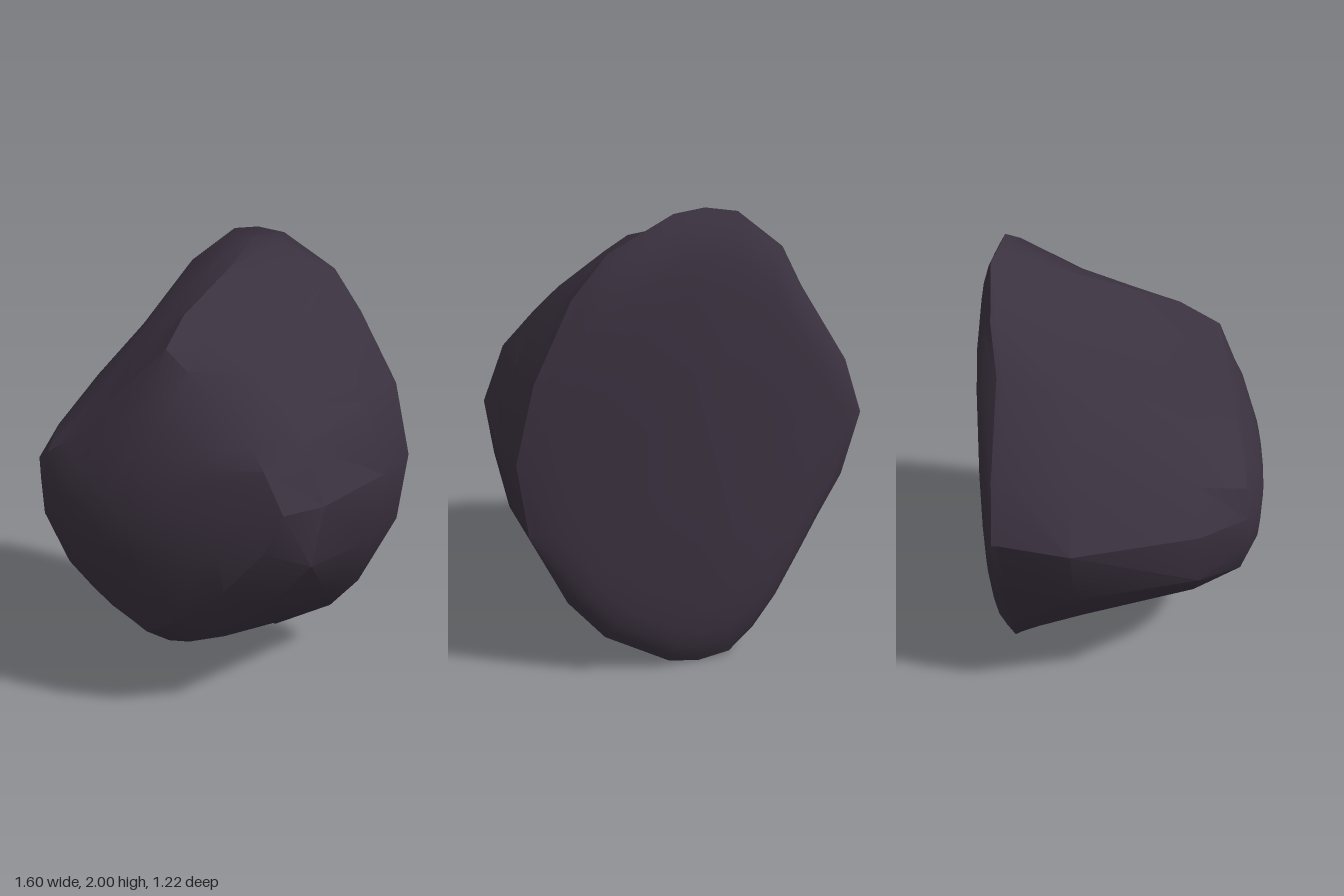
import * as THREE from 'three';
import { toCreasedNormals } from 'three/addons/utils/BufferGeometryUtils.js';

// Rim around the broad back of the stone (x, y, z), clockwise from the top
const rim = [
  [0.02, 2, -0.51], [0.15, 1.985, -0.51], [0.41, 1.85, -0.49], [0.55, 1.68, -0.47], [0.72, 1.37, -0.5],
  [0.8, 1.05, -0.495], [0.76, 0.73, -0.5], [0.6, 0.39, -0.47], [0.45, 0.21, -0.5], [0.16, 0.03, -0.51],
  [0.02, 0, -0.51], [-0.12, 0.02, -0.52], [-0.24, 0.11, -0.51], [-0.35, 0.23, -0.49],
  [-0.48, 0.45, -0.48], [-0.66, 0.77, -0.49], [-0.74, 1.05, -0.49], [-0.65, 1.3, -0.49],
  [-0.43, 1.64, -0.48], [-0.32, 1.82, -0.51], [-0.11, 1.98, -0.53],
];

// Outline of the front facet (x, y, z), in the same order
const face = [
  [0.07, 1.64, 0.39], [0.17, 1.56, 0.39], [0.37, 1.4, 0.39], [0.46, 1.31, 0.41], [0.54, 1.22, 0.44],
  [0.63, 1.05, 0.44], [0.56, 0.88, 0.47], [0.39, 0.68, 0.48], [0.18, 0.5, 0.49], [0.1, 0.45, 0.49],
  [0.02, 0.41, 0.49], [-0.06, 0.45, 0.49], [-0.15, 0.5, 0.5], [-0.25, 0.58, 0.51], [-0.35, 0.67, 0.52],
  [-0.46, 0.88, 0.535], [-0.475, 1.03, 0.53], [-0.44, 1.16, 0.52], [-0.34, 1.22, 0.51],
  [-0.15, 1.41, 0.46], [-0.03, 1.54, 0.42],
];

// How far each side has tapered from rim to face at two depths
const taperBack = [0.36, 0.35, 0.3, 0.25, 0.1, 0, 0.03, 0.18, 0.2, 0.33, 0.39, 0.38, 0.35, 0.28,
  0.07, -0.2, -0.23, 0.02, 0.22, 0.3, 0.35];
const taperFront = [0.71, 0.71, 0.68, 0.64, 0.5, 0.42, 0.36, 0.54, 0.56, 0.64, 0.68, 0.7, 0.7,
  0.69, 0.6, 0.28, 0.42, 0.62, 0.76, 0.78, 0.77];

const backZ = (x, y) => -0.61 + 0.09 * (Math.abs(x) / 0.75) ** 1.6 + 0.06 * (y - 1) ** 4;
const frontZ = (x, y) => 0.61 - 0.36 * (x + 0.1) ** 2 - 0.46 * (y - 0.92) ** 2;
const mix = THREE.MathUtils.lerp;

function stoneGeometry() {
  const n = rim.length;

  // Gently domed back, shrunk copies of the rim that round over into it
  const back = (s, dome) => rim.map(([x, y, z]) => {
    const px = x * s, py = 1 + (y - 1) * s;
    return [px, py, mix(z, backZ(px, py), dome)];
  });

  // Shallow groove in front of the rim, only at the top and bottom
  const groove = rim.map(([x, y, z]) => {
    const d = y - 1;
    return [x, 1 + d * (1 - 0.035 * d ** 4), z + 0.03];
  });

  // Sides between rim and front facet
  const side = (taper, depth) => rim.map((p, i) => [
    mix(p[0], face[i][0], taper[i]), mix(p[1], face[i][1], taper[i]), mix(-0.5, face[i][2], depth),
  ]);

  // Domed front facet
  const peak = [-0.02, 0.98];
  const front = (s) => face.map(([x, y]) => {
    const px = mix(peak[0], x, s), py = mix(peak[1], y, s);
    return [px, py, frontZ(px, py)];
  });

  const rings = [
    back(0, 1), back(0.4, 1), back(0.7, 1), back(0.82, 1), back(0.9, 0.9), back(0.96, 0.5),
    rim, groove,
    side(taperBack, 0.32), side(taperFront, 0.81),
    face, front(0.68), front(0.34), front(0),
  ];

  const index = [];
  for (let r = 0; r < rings.length - 1; r++) {
    for (let i = 0; i < n; i++) {
      const j = (i + 1) % n;
      const a = r * n + i, b = r * n + j, c = a + n, d = b + n;
      if (r > 0) index.push(a, c, b);
      if (r < rings.length - 2) index.push(b, c, d);
    }
  }
  const geometry = new THREE.BufferGeometry();
  geometry.setAttribute('position', new THREE.Float32BufferAttribute(rings.flat(2), 3));
  geometry.setIndex(index);
  return toCreasedNormals(geometry, 0.5);
}

export function createModel() {
  const group = new THREE.Group();
  group.name = 'rock';
  const stone = new THREE.Mesh(stoneGeometry(), new THREE.MeshStandardMaterial({ color: 0x3b3240 }));
  stone.name = 'stone';
  group.add(stone);
  return group;
}
